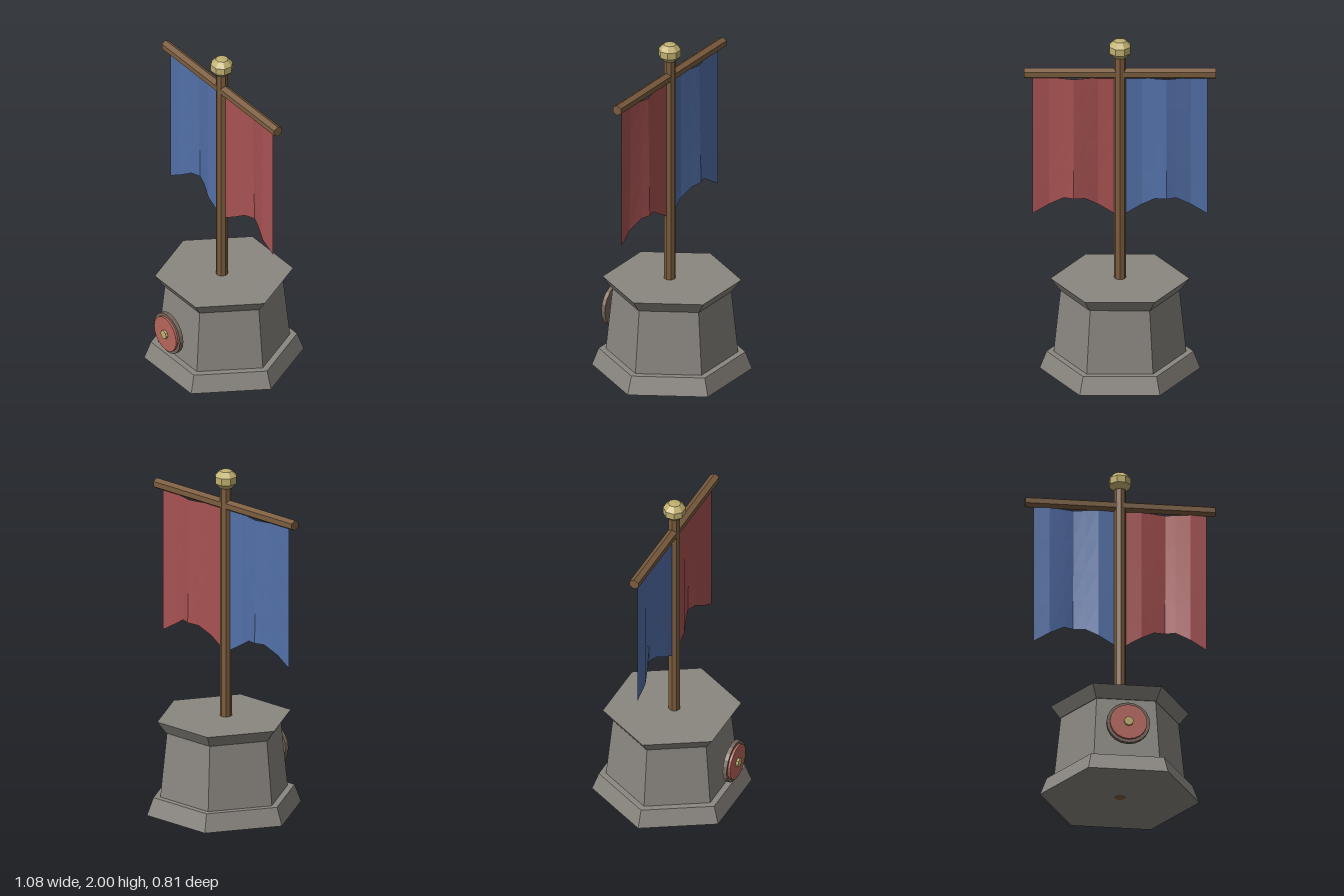
import * as THREE from 'three';

const material = (color, side = THREE.FrontSide) =>
  new THREE.MeshStandardMaterial({ color, flatShading: true, side });

const stone = material(0x8a8680);
const wood = material(0x7a5c3e);
const gold = material(0xc0b070);
const medalRed = material(0xb8665c);
const medalRim = material(0x75665a);

function addMesh(parent, name, geometry, mat, x = 0, y = 0, z = 0) {
  const mesh = new THREE.Mesh(geometry, mat);
  mesh.name = name;
  mesh.position.set(x, y, z);
  parent.add(mesh);
  return mesh;
}

// Tapered hexagonal block with a flat face to the front
function addHexBlock(parent, name, rTop, rBottom, y0, y1) {
  const geo = new THREE.CylinderGeometry(rTop, rBottom, y1 - y0, 6).rotateY(Math.PI / 6);
  addMesh(parent, name, geo, stone, 0, (y0 + y1) / 2, -0.015);
}

// Disc facing the front, between two depths
function addDisc(parent, name, radius, z0, z1, sides, mat) {
  const geo = new THREE.CylinderGeometry(radius, radius, z1 - z0, sides).rotateX(Math.PI / 2);
  addMesh(parent, name, geo, mat, 0, 0.288, (z0 + z1) / 2);
}

// Hanging cloth: folds deepen downwards, the hem is notched
function clothGeometry(side) {
  const folds = [ // [across, depth]
    [0, 0], [0.2, 0.006], [0.38, -0.018], [0.5, -0.038], [0.64, -0.018], [0.8, 0.005], [1, 0],
  ];
  const rows = 4;
  const geo = new THREE.PlaneGeometry(1, 1, folds.length - 1, rows);
  const pos = geo.attributes.position;
  for (let i = 0; i < pos.count; i++) {
    const [u, depth] = folds[i % folds.length];
    const t = Math.floor(i / folds.length) / rows;
    const hem = 0.938 + 0.104 * Math.min(1, Math.min(u, 1 - u) / 0.38);
    pos.setXYZ(i, side * (0.49 - 0.46 * u), 1.768 + (hem - 1.768) * t, depth * (0.7 + 0.3 * t));
  }
  geo.computeVertexNormals();
  return geo;
}

export function createModel() {
  const model = new THREE.Group();
  model.name = 'bannerMonument';

  // Stone pedestal
  const pedestal = new THREE.Group();
  pedestal.name = 'pedestal';
  addHexBlock(pedestal, 'plinth', 0.412, 0.45, 0, 0.102);
  addHexBlock(pedestal, 'pedestalBody', 0.333, 0.372, 0.1, 0.48);
  addHexBlock(pedestal, 'pedestalCap', 0.39, 0.338, 0.477, 0.547);
  model.add(pedestal);

  // Round medallion in front of the pedestal
  const medallion = new THREE.Group();
  medallion.name = 'medallion';
  addDisc(medallion, 'medallionRim', 0.123, 0.355, 0.379, 20, medalRim);
  addDisc(medallion, 'medallionFace', 0.105, 0.365, 0.392, 20, medalRed);
  addDisc(medallion, 'medallionHub', 0.027, 0.38, 0.405, 8, gold);
  model.add(medallion);

  // Pole, crossbar and finial
  addMesh(model, 'pole', new THREE.CylinderGeometry(0.034, 0.034, 1.91, 8), wood, 0, 0.955, 0);
  const bar = new THREE.CylinderGeometry(0.031, 0.031, 1.075, 6).rotateY(Math.PI / 6).rotateZ(Math.PI / 2);
  addMesh(model, 'crossbar', bar, wood, 0, 1.796, 0);
  const profile = [[0, 1.89], [0.034, 1.895], [0.064, 1.925], [0.064, 1.965], [0.036, 1.995], [0, 2]];
  const knob = new THREE.LatheGeometry(profile.map(([r, y]) => new THREE.Vector2(r, y)), 8);
  addMesh(model, 'finial', knob.rotateY(Math.PI / 8), gold);

  // Two banners
  addMesh(model, 'leftBanner', clothGeometry(1), material(0xa85252, THREE.DoubleSide));
  addMesh(model, 'rightBanner', clothGeometry(-1), material(0x5270a8, THREE.DoubleSide));

  return model;
}
